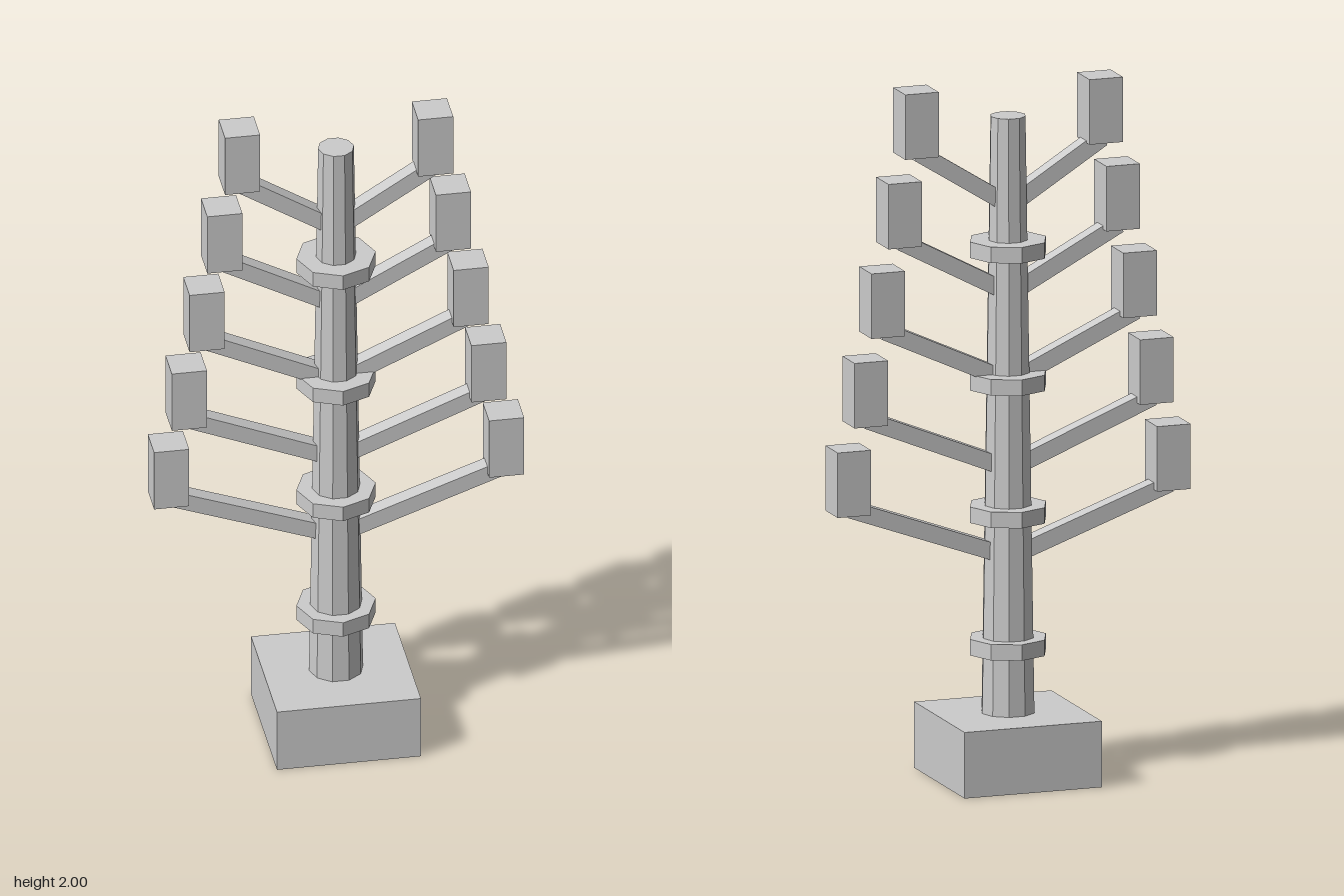
import * as THREE from 'three';

export function createModel() {
  const model = new THREE.Group();
  const grey = new THREE.MeshStandardMaterial({ color: 0xcccccc, flatShading: true });
  grey.name = 'light grey';

  const add = (name, geometry, x, y, z = 0) => {
    const mesh = new THREE.Mesh(geometry, grey);
    mesh.name = name;
    mesh.position.set(x, y, z);
    model.add(mesh);
    return mesh;
  };

  // Square base block
  add('base', new THREE.BoxGeometry(0.41, 0.19, 0.41), 0, 0.095);

  // Tapered ten-sided trunk, corners on the x axis
  const trunk = new THREE.CylinderGeometry(0.051, 0.077, 1.715, 10).rotateY(Math.PI / 2);
  add('trunk', trunk, 0, 0.19 + 1.715 / 2);

  // Octagonal collars
  const collar = new THREE.CylinderGeometry(0.113, 0.113, 0.046, 8);
  for (let i = 0; i < 4; i++) add('collar', collar, 0, 0.383 + i * 0.381);

  // Five mirrored pairs of rising branches, each carrying an upright block
  const block = new THREE.BoxGeometry(0.1, 0.187, 0.1);
  for (let i = 0; i < 5; i++) {
    const reach = 0.477 - i * 0.0505;
    const startY = 0.639 + i * 0.2525;
    const rise = 0.173;
    const length = Math.hypot(reach, rise);
    const branch = new THREE.BoxGeometry(length, 0.048, 0.048);
    for (const side of [1, -1]) {
      const arm = add('branch', branch, side * reach / 2, startY + rise / 2);
      arm.rotation.z = side * Math.atan2(rise, reach);
      add('branchBlock', block, side * reach, 0.8925 + i * 0.2535);
    }
  }
  return model;
}
